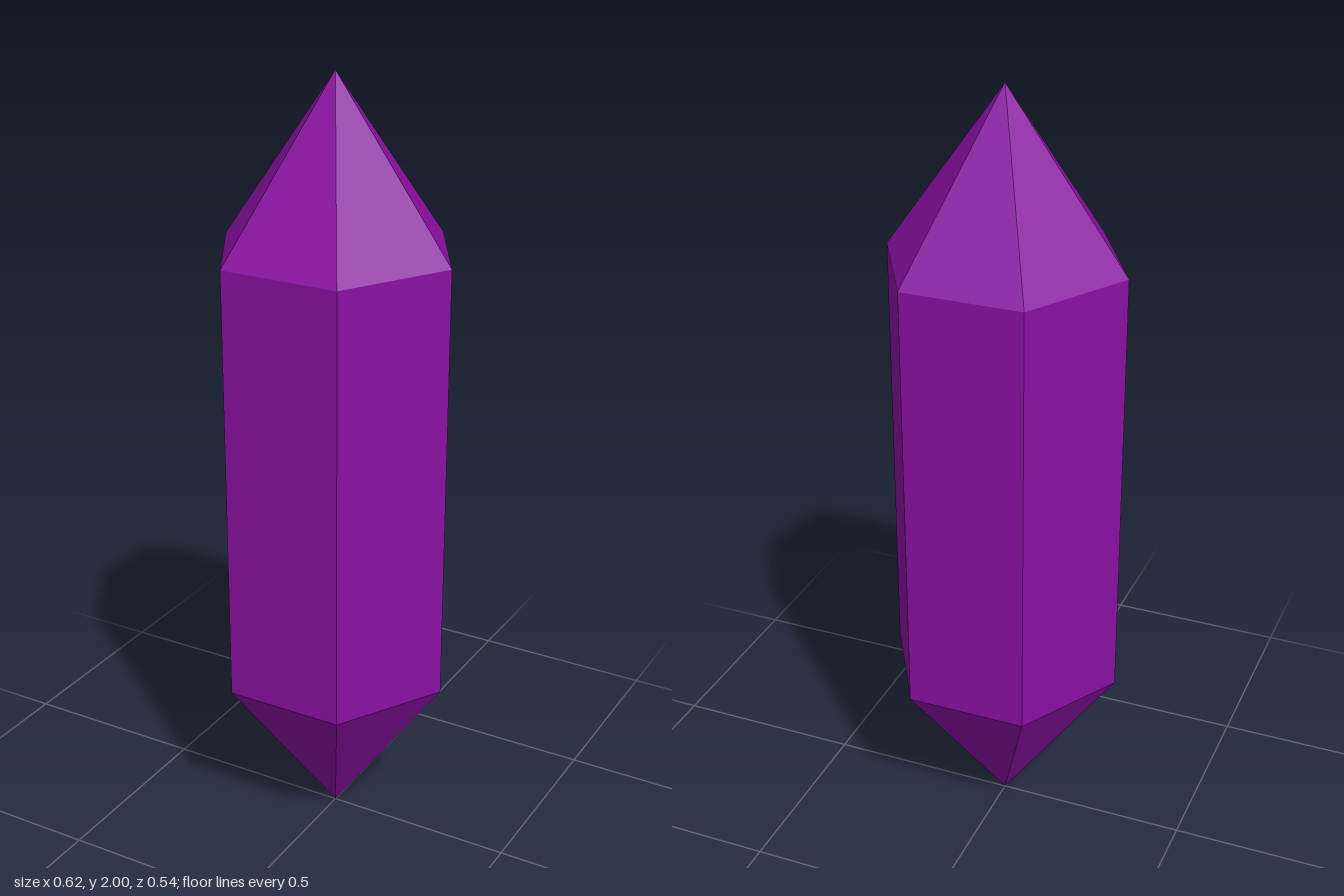
import * as THREE from 'three';

const RADIUS = 0.31;
const LOWER = 0.435; // height of the lower shoulder
const UPPER = 1.57; // height of the upper shoulder
const HEIGHT = 2;

export function createModel() {
  const model = new THREE.Group();
  model.name = 'crystal';
  const material = new THREE.MeshStandardMaterial({ color: 0x8a10a2, flatShading: true });

  // One open six-sided section, with corners on the x axis
  function addSection(name, bottomRadius, topRadius, y0, y1) {
    const geometry = new THREE.CylinderGeometry(
      topRadius, bottomRadius, y1 - y0, 6, 1, true, Math.PI / 2);
    const mesh = new THREE.Mesh(geometry, material);
    mesh.name = name;
    mesh.position.y = (y0 + y1) / 2;
    model.add(mesh);
  }

  addSection('lowerPoint', 0, RADIUS, 0, LOWER);
  addSection('shaft', RADIUS, RADIUS, LOWER, UPPER);
  addSection('upperPoint', RADIUS, 0, UPPER, HEIGHT);

  return model;
}
